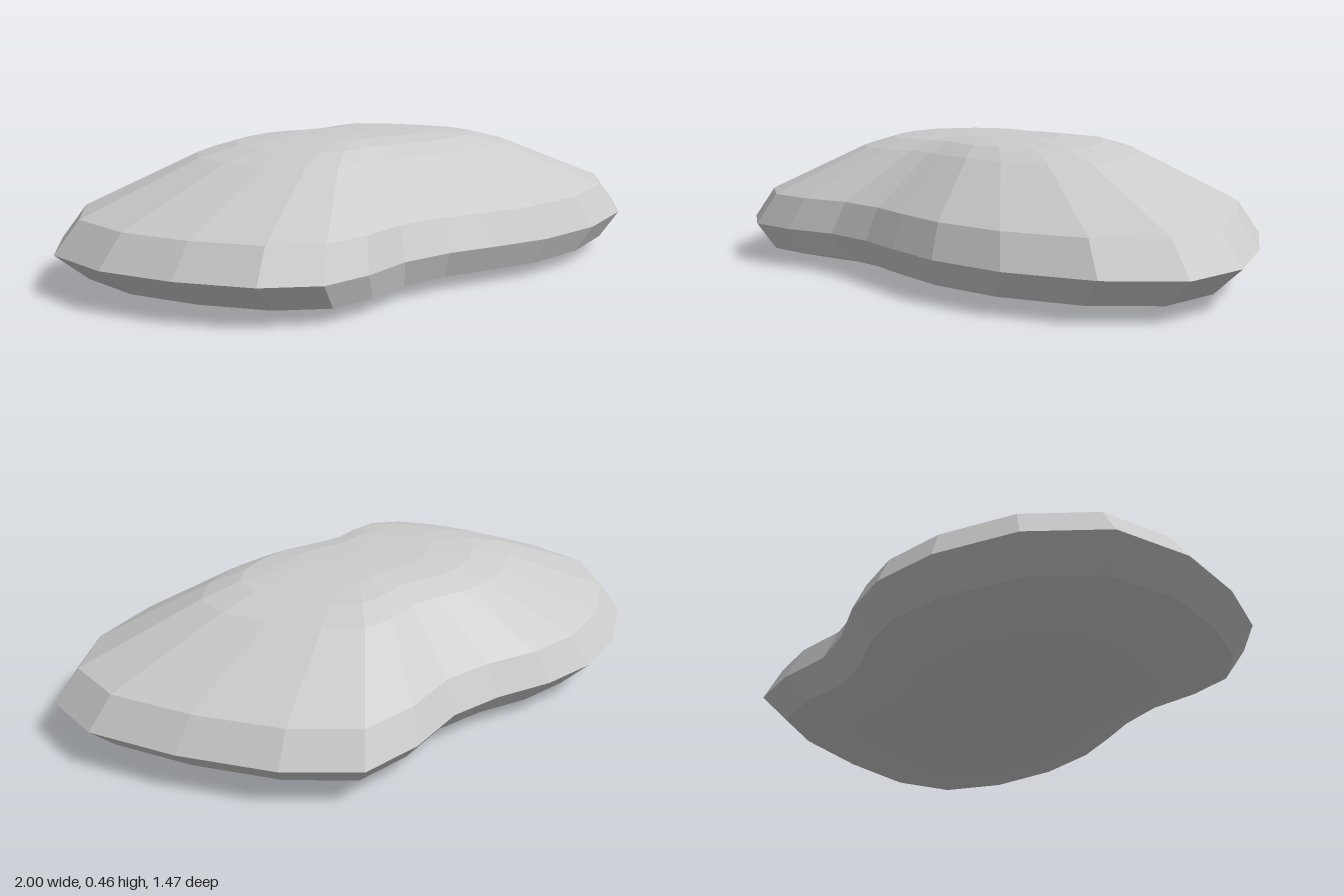
import * as THREE from 'three';

// Widest outline of the stone as [x, z], clockwise from above
const OUTLINE = [
  [-1, -0.2], [-0.95, -0.46], [-0.76, -0.64], [-0.5, -0.73], [-0.27, -0.74], [-0.08, -0.685],
  [0.1, -0.59], [0.28, -0.53], [0.5, -0.53], [0.71, -0.48], [0.85, -0.27], [0.95, 0.04],
  [1, 0.35], [0.93, 0.58], [0.71, 0.7], [0.42, 0.73], [0.16, 0.685], [-0.04, 0.6],
  [-0.2, 0.525], [-0.38, 0.475], [-0.57, 0.475], [-0.74, 0.44], [-0.87, 0.3], [-0.96, 0.06],
];

// Cross-sections from the underside to the crown: [outline scale, height, z shift]
const RINGS = [
  [0, 0, 0.08], [0.62, 0.01, 0.04], [0.91, 0.045, 0.02], [1, 0.13, 0], [0.92, 0.235, 0],
  [0.54, 0.4, 0], [0.41, 0.435, 0.01], [0.25, 0.45, 0.02], [0, 0.455, 0.03],
];

function loftStone() {
  const at = (r, i) => {
    const [s, y, dz] = RINGS[r];
    const [x, z] = OUTLINE[i % OUTLINE.length];
    return [x * s, y, z * s + dz];
  };
  const pos = [];
  for (let r = 0; r < RINGS.length - 1; r++) {
    for (let i = 0; i < OUTLINE.length; i++) {
      const a = at(r, i), b = at(r, i + 1), c = at(r + 1, i + 1), d = at(r + 1, i);
      // The first and last bands close to a point, so they need one triangle only
      if (RINGS[r + 1][0] > 0) pos.push(...a, ...d, ...c);
      if (RINGS[r][0] > 0) pos.push(...a, ...c, ...b);
    }
  }
  const geo = new THREE.BufferGeometry();
  geo.setAttribute('position', new THREE.Float32BufferAttribute(pos, 3));
  geo.computeVertexNormals();
  return geo;
}

export function createModel() {
  const group = new THREE.Group();
  group.name = 'flatStone';
  const stone = new THREE.Mesh(
    loftStone(),
    new THREE.MeshStandardMaterial({ color: 0xcccccc, flatShading: true }),
  );
  stone.name = 'stone';
  group.add(stone);
  return group;
}
